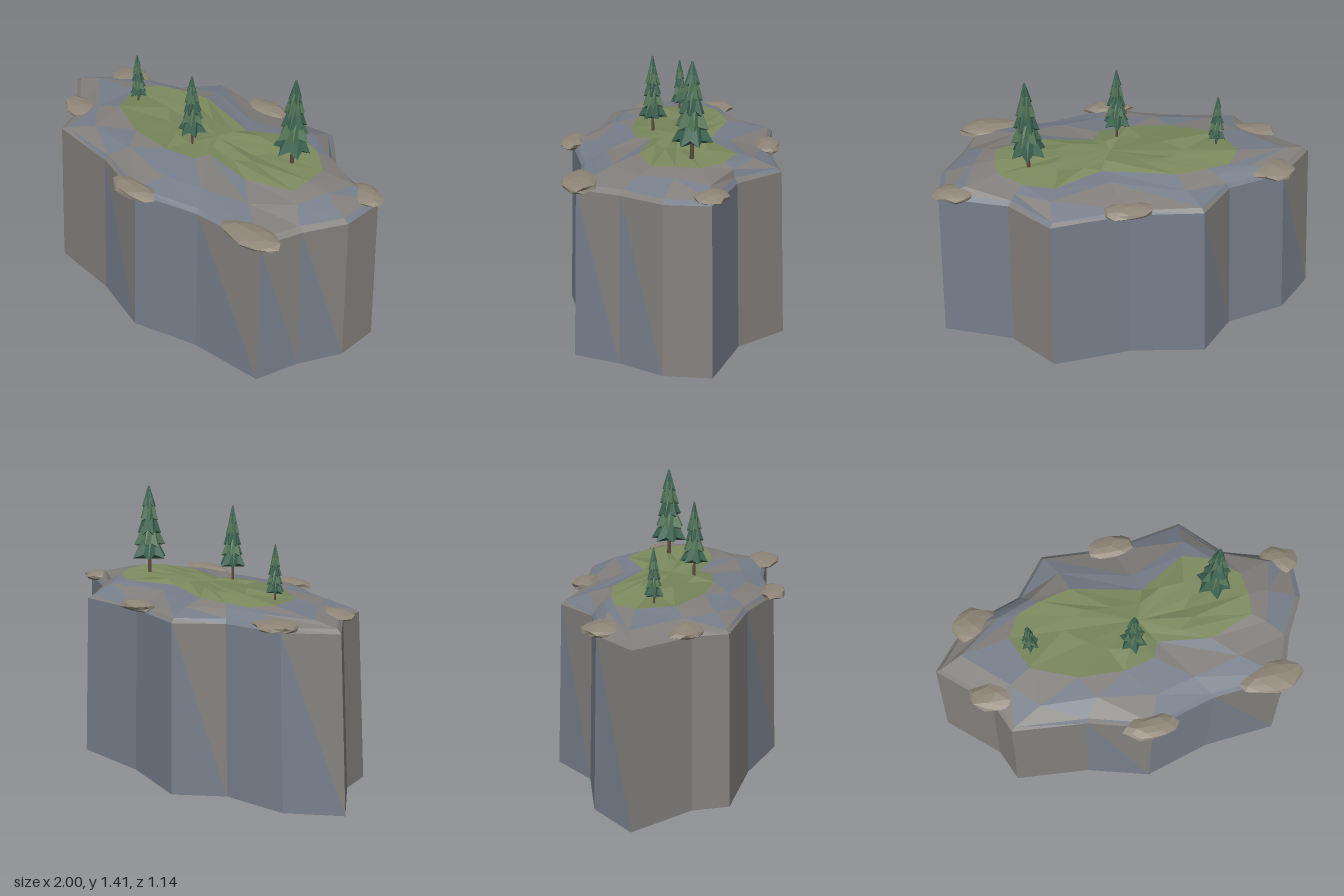
import * as THREE from 'three';

// Small repeatable noise in -1..1
const noise = (a, b = 0) => {
  const s = Math.sin(a * 127.1 + b * 311.7) * 43758.5453;
  return (s - Math.floor(s)) * 2 - 1;
};
const mat = (color) => new THREE.MeshStandardMaterial({ color, flatShading: true, side: THREE.DoubleSide });
const slate = mat(0x767e8a), stone = mat(0x827f7c), under = mat(0x5c5a58), grass = mat(0x76855a), lightGrass = mat(0x7f8d60);
const boulder = mat(0x8f8678), bark = mat(0x5a4a3c), pine = mat(0x3f6654), palePine = mat(0x55785a);

// Cliff foot, going left, back, right, front: [x, z]
const foot = [[-1, -0.01], [-0.81, -0.23], [-0.5, -0.33], [-0.33, -0.54], [0.05, -0.51], [0.45, -0.575],
  [0.65, -0.355], [1, -0.24], [0.99, -0.01], [0.87, 0.2], [0.79, 0.42], [0.4, 0.445], [0.05, 0.54],
  [-0.28, 0.44], [-0.67, 0.4], [-0.74, 0.23]];
// Edge of the grass, point for point with the foot
const meadow = [[-0.55, -0.08], [-0.48, -0.2], [-0.36, -0.24], [-0.2, -0.275], [0.16, -0.19], [0.4, -0.33],
  [0.55, -0.28], [0.67, -0.17], [0.68, -0.05], [0.67, 0.06], [0.44, 0.14], [0.17, 0.1], [0.14, 0.18],
  [-0.02, 0.215], [-0.25, 0.2], [-0.48, 0.1]];

// Triangles of the strip between two rings
function strip(a, b) {
  const tris = [];
  a.forEach((p, i) => {
    const j = (i + 1) % a.length;
    tris.push([p, b[i], b[j]], [p, b[j], a[j]]);
  });
  return tris;
}
// Triangles closing a ring to a centre point
const fan = (c, ring, up) => ring.map((p, i) => {
  const q = ring[(i + 1) % ring.length];
  return up ? [c, q, p] : [c, p, q];
});

// Spread triangles over two tones, one mesh for each tone
function addFacets(group, name, tris, materials) {
  materials.forEach((m, tone) => {
    const part = tris.filter((t, i) => materials.length === 1 || (noise(i, tris.length) > 0.1 ? 1 : 0) === tone);
    const g = new THREE.BufferGeometry().setFromPoints(part.flat());
    g.computeVertexNormals();
    const mesh = new THREE.Mesh(g, m);
    mesh.name = name + (tone ? 'Warm' : 'Cool');
    group.add(mesh);
  });
}

function makeMesa() {
  const group = new THREE.Group();
  group.name = 'mesa';
  const v = (x, y, z) => new THREE.Vector3(x, y, z);
  const base = foot.map(([x, z]) => v(x, 0.0225 + 0.0225 * x, z));
  const rim = foot.map(([x, z]) => v(x * 0.953 + 0.012, 0.86, z * 0.95));
  const lip = rim.map((p, i) => v(p.x * 0.97, 0.88 + 0.006 * noise(i, 3), p.z * 0.96));
  const lawn = meadow.map(([x, z], i) => v(x, 0.938 + 0.006 * noise(i, 5) + 0.012 * x, z));
  // Uneven slope between the lip and the grass
  const slope = lip.map((p, i) => p.clone().lerp(lawn[i], 0.45 + 0.15 * noise(i, 7))
    .add(v(0.03 * noise(i, 8), 0.012 + 0.008 * noise(i, 9), 0.02 * noise(i, 10))));
  const centre = v(0.1, 0.947, -0.03);
  const lawnMid = lawn.map((p, i) => p.clone().lerp(centre, 0.5 + 0.12 * noise(i, 11)).setY(0.946 + 0.006 * noise(i, 12)));

  addFacets(group, 'cliffWall', strip(base, rim), [slate, stone]);
  addFacets(group, 'cliffTop', [...strip(rim, lip), ...strip(lip, slope), ...strip(slope, lawn)], [slate, stone]);
  addFacets(group, 'grass', [...strip(lawn, lawnMid), ...fan(centre, lawnMid, true)], [grass, lightGrass]);
  addFacets(group, 'underside', fan(v(0, 0.0225, 0), base, false), [under]);
  return group;
}

// Flat, rough boulder lying on the rim
function makeBoulder(x, z, rx, rz, seed) {
  const g = new THREE.IcosahedronGeometry(1, 1);
  const pos = g.attributes.position, p = new THREE.Vector3();
  for (let i = 0; i < pos.count; i++) {
    p.fromBufferAttribute(pos, i);
    const key = Math.round(p.x * 50) + Math.round(p.y * 50) * 3.7 + Math.round(p.z * 50) * 9.1;
    p.multiplyScalar(1 + 0.13 * noise(key, seed));
    pos.setXYZ(i, p.x * rx, p.y * 0.026, p.z * rz);
  }
  g.computeVertexNormals();
  const mesh = new THREE.Mesh(g, boulder);
  mesh.name = 'boulder';
  mesh.position.set(x, 0.88, z);
  return mesh;
}

// Pine with star-shaped, drooping tiers
function makePine(x, z, skirt, top, radius, seed) {
  const tree = new THREE.Group();
  tree.name = 'pine';
  tree.position.set(x, 0, z);
  const ground = 0.925, h = top - skirt, r = radius * 0.11;
  const trunk = new THREE.Mesh(new THREE.CylinderGeometry(r * 0.7, r, skirt + h * 0.3 - ground, 6), bark);
  trunk.name = 'trunk';
  trunk.position.y = (skirt + h * 0.3 + ground) / 2;
  tree.add(trunk);
  const tiers = 5, sides = 12;
  for (let t = 0; t < tiers; t++) {
    const R = radius * (1 - 0.155 * t), th = h * (t === tiers - 1 ? 0.3 : 0.31);
    const g = new THREE.CylinderGeometry(t === tiers - 1 ? R * 0.12 : R * 0.36, R, th, sides);
    const pos = g.attributes.position;
    for (let i = 0; i < pos.count; i++) {
      const px = pos.getX(i), pz = pos.getZ(i);
      if (pos.getY(i) > 0 || Math.hypot(px, pz) < 1e-6) continue;
      const k = (Math.round(Math.atan2(px, pz) / (Math.PI * 2 / sides)) + sides) % sides;
      const s = (k % 2 ? 0.58 : 0.96) + 0.09 * noise(k + t * 13, seed);
      const lift = (k % 2 ? 0.2 : 0.05) + 0.06 * noise(k, seed + t);
      pos.setXYZ(i, px * s, -th / 2 + lift * th, pz * s);
    }
    g.computeVertexNormals();
    const tier = new THREE.Mesh(g, t % 2 ? palePine : pine);
    tier.name = 'foliageTier';
    tier.rotation.y = t * 0.75 + seed;
    tier.position.y = skirt + (h * 0.7 * t) / (tiers - 1) + th / 2;
    tree.add(tier);
  }
  return tree;
}

export function createModel() {
  const model = new THREE.Group();
  model.name = 'treeMesa';
  model.add(makeMesa());
  [[0.06, -0.48, 0.13, 0.065], [-0.71, -0.2, 0.12, 0.1], [0.88, -0.22, 0.105, 0.08], [-0.66, 0.18, 0.14, 0.085],
    [0.05, 0.51, 0.13, 0.065], [0.7, 0.385, 0.165, 0.09]].forEach((b, i) => model.add(makeBoulder(...b, i + 1)));
  model.add(makePine(0.05, 0.1, 1.015, 1.335, 0.072, 1));
  model.add(makePine(0.515, -0.12, 1.015, 1.41, 0.1, 2));
  model.add(makePine(-0.45, -0.01, 0.97, 1.21, 0.05, 3));
  return model;
}
